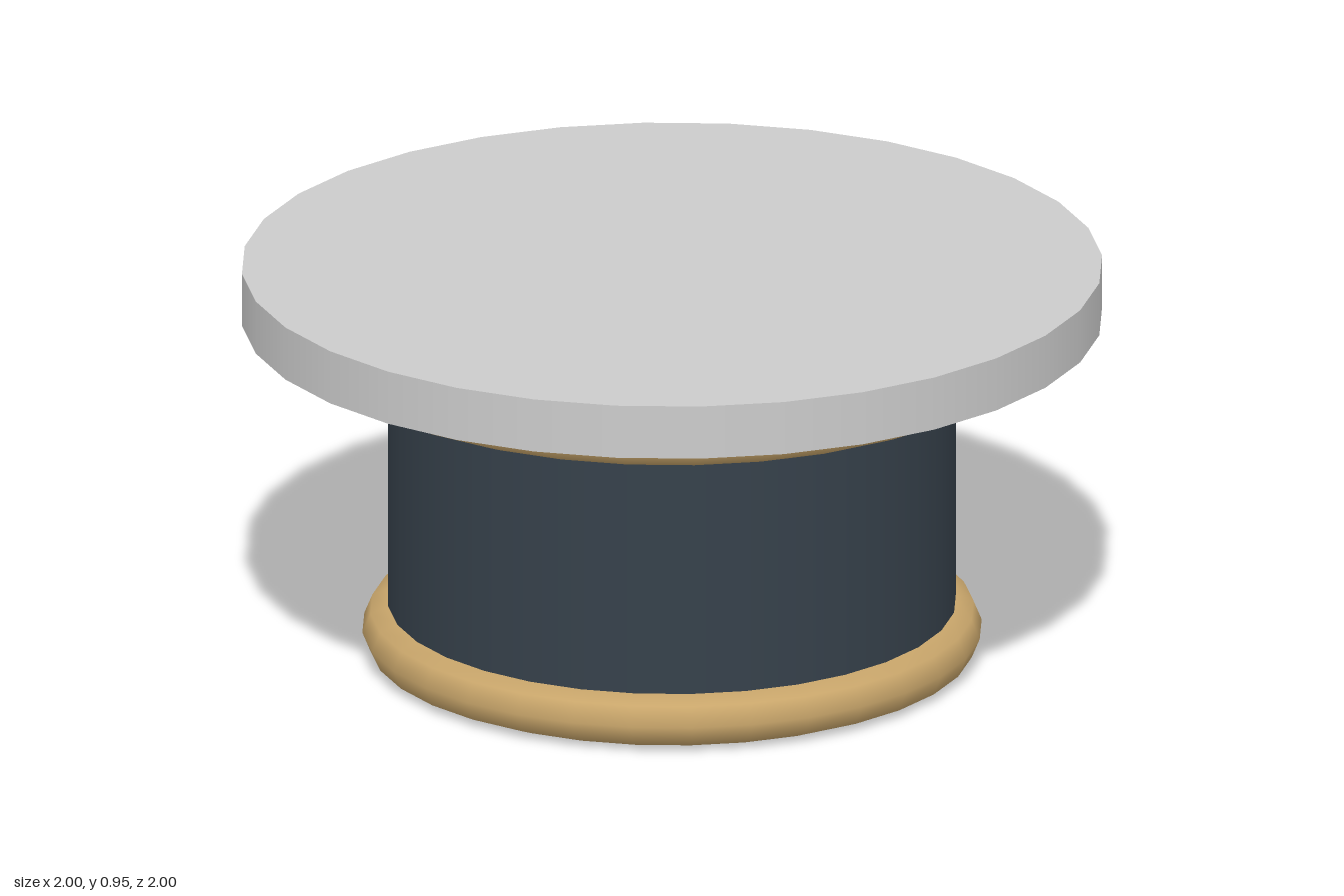
import * as THREE from 'three';

const SEGMENTS = 32;

export function createModel() {
  const group = new THREE.Group();
  const grey = new THREE.MeshStandardMaterial({ color: 0xcccccc });
  const brass = new THREE.MeshStandardMaterial({ color: 0xc9a66b });
  const charcoal = new THREE.MeshStandardMaterial({ color: 0x36414b, side: THREE.DoubleSide });

  function add(name, geometry, material, y) {
    const mesh = new THREE.Mesh(geometry, material);
    mesh.name = name;
    mesh.position.y = y;
    group.add(mesh);
  }

  // Upright cylinder between two heights
  function cylinder(name, radius, bottom, top, material, open = false) {
    const geometry = new THREE.CylinderGeometry(radius, radius, top - bottom, SEGMENTS, 1, open);
    add(name, geometry, material, (bottom + top) / 2);
  }

  // Horizontal ring with an eight-sided section
  function ring(name, radius, tube, y) {
    const geometry = new THREE.TorusGeometry(radius, tube, 8, SEGMENTS).rotateX(Math.PI / 2);
    add(name, geometry, brass, y);
  }

  // Round top
  cylinder('tabletop', 1, 0.825, 0.953, grey);

  // Hollow drum, open underneath, around an inner column
  cylinder('drum', 0.66, 0.07, 0.825, charcoal, true);
  cylinder('innerColumn', 0.425, 0.1, 0.825, brass);

  // Trim rings
  ring('upperRing', 0.797, 0.064, 0.802);
  ring('baseRing', 0.655, 0.065, 0.065);

  return group;
}
